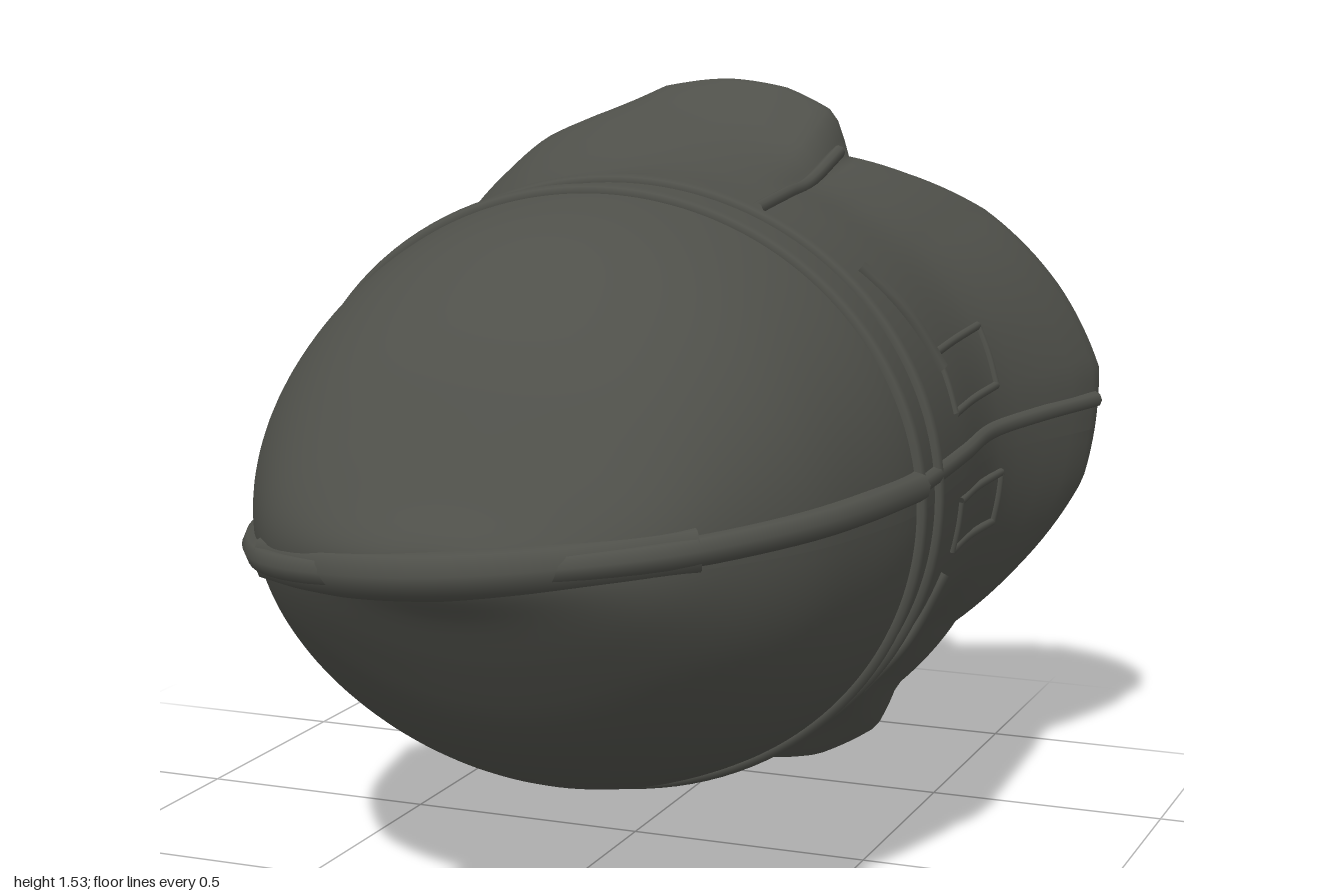
import * as THREE from 'three';

const CY = 0.77;
const V = (x, y, z) => new THREE.Vector3(x, y, z);

// Outer sections from nose to waist: z, half width, half height
const BODY = [
  [0.965, 0, 0], [0.955, 0.12, 0.04], [0.9, 0.28, 0.11], [0.82, 0.4, 0.225], [0.7, 0.495, 0.375],
  [0.55, 0.575, 0.485], [0.4, 0.62, 0.555], [0.2, 0.655, 0.595], [0, 0.65, 0.605], [-0.2, 0.64, 0.61],
];
// Lining sections of the hollow, from waist back up to the nose
const LINING = [
  [-0.2, 0.575, 0.545], [0, 0.58, 0.54], [0.2, 0.58, 0.52], [0.4, 0.55, 0.48],
  [0.6, 0.47, 0.37], [0.75, 0.36, 0.23], [0.85, 0.2, 0.09], [0.88, 0, 0],
];
const STEPS = 5;
const POINTS = BODY.length + 5 + LINING.length;

// Flared petals round the open rear: angle, ridge z, ridge radius, edge z, edge radius
const REAR = [
  [-90, -0.5, 0.68, -0.61, 0.765], [-75, -0.5, 0.68, -0.6, 0.765], [-63, -0.48, 0.66, -0.6, 0.74],
  [-55, -0.45, 0.63, -0.58, 0.675], [-38, -0.48, 0.62, -0.61, 0.65], [-25, -0.5, 0.63, -0.74, 0.685],
  [-9, -0.5, 0.63, -0.85, 0.735], [10, -0.5, 0.63, -0.9, 0.755], [25, -0.5, 0.63, -0.88, 0.725],
  [44, -0.5, 0.62, -0.82, 0.69], [58, -0.45, 0.61, -0.7, 0.665],
  [68, -0.42, 0.61, -0.63, 0.65], [73, -0.45, 0.64, -0.62, 0.73], [82, -0.47, 0.66, -0.62, 0.755],
  [92, -0.48, 0.68, -0.62, 0.765], [104, -0.53, 0.73, -0.65, 0.765], [125, -0.55, 0.765, -0.8, 0.72],
  [148, -0.55, 0.765, -0.93, 0.65], [180, -0.55, 0.755, -0.98, 0.575], [205, -0.55, 0.74, -1.0, 0.57],
  [225, -0.57, 0.725, -0.98, 0.62], [240, -0.57, 0.735, -0.9, 0.69], [250, -0.57, 0.745, -0.78, 0.73],
  [260, -0.54, 0.72, -0.66, 0.755], [270, -0.5, 0.68, -0.61, 0.765],
];

function rearAt(deg) {
  const d = THREE.MathUtils.euclideanModulo(deg + 90, 360) - 90;
  let i = 0;
  while (i < REAR.length - 2 && REAR[i + 1][0] < d) i++;
  const a = REAR[i], b = REAR[i + 1], t = (d - a[0]) / (b[0] - a[0]);
  return a.map((v, k) => v + (b[k] - v) * t);
}

// Outer skin, rolled edge and inner lining along one angle
function shellPath(deg) {
  const a = THREE.MathUtils.degToRad(deg), c = Math.cos(a), s = Math.sin(a);
  const at = (r, z) => V(r * c, CY + r * s, z);
  const section = ([z, w, h]) => V(w * c, CY + h * s, z);
  const [, zr, rr, ze, re] = rearAt(deg);
  return new THREE.CatmullRomCurve3([
    ...BODY.map(section),
    at(rr, zr), at(re, ze), at(re - 0.025, ze - 0.005), at(re - 0.05, ze + 0.02), at(rr - 0.06, zr),
    ...LINING.map(section),
  ]);
}

function shellGeometry() {
  const cols = 180, rows = (POINTS - 1) * STEPS, pos = [], idx = [];
  for (let j = 0; j <= cols; j++) {
    const path = shellPath(j / cols * 360);
    for (let i = 0; i <= rows; i++) pos.push(...path.getPoint(i / rows).toArray());
  }
  const n = rows + 1;
  for (let j = 0; j < cols; j++) for (let i = 0; i < rows; i++) {
    const a = j * n + i, b = a + 1, c = a + n, d = c + 1;
    idx.push(a, b, c, b, d, c);
  }
  const g = new THREE.BufferGeometry();
  g.setAttribute('position', new THREE.Float32BufferAttribute(pos, 3));
  g.setIndex(idx);
  g.computeVertexNormals();
  return g;
}

// Point on the outer skin at a given angle and z
function skin(deg, z) {
  const path = shellPath(deg);
  let lo = 0, hi = (BODY.length + 1) / (POINTS - 1);
  for (let i = 0; i < 24; i++) {
    const m = (lo + hi) / 2;
    if (path.getPoint(m).z > z) lo = m; else hi = m;
  }
  return path.getPoint(lo);
}

export function createModel() {
  const group = new THREE.Group();
  const grey = new THREE.MeshStandardMaterial({ color: 0x4f504a });
  grey.name = 'dark grey';
  const add = (name, geo) => {
    const m = new THREE.Mesh(geo, grey);
    m.name = name;
    group.add(m);
    return m;
  };
  const tube = (name, pts, r, closed = false) => add(name, new THREE.TubeGeometry(
    new THREE.CatmullRomCurve3(pts, closed), closed ? 120 : 48, r, 8, closed));
  // Raised line laid on the skin through [angle, z] stations
  const seam = (name, stations, r) => tube(name, stations.map(([d, z]) => skin(d, z)), r);

  add('shell', shellGeometry());

  // Twin waist bands, slightly skewed
  for (const z of [0.2, 0.07]) {
    const pts = [];
    for (let d = 0; d < 360; d += 10) pts.push(skin(d, z - 0.03 * Math.cos(d * Math.PI / 180)));
    tube('waistBand', pts, 0.016, true);
  }

  // Lip round the nose, tilted to one side and thickest in front
  const lip = BODY.slice(1, 8).map(([z, w]) => [w, z]);
  const lipPoint = (x, z) => V(x, 0.76 + 0.1 * x, z - 0.015);
  tube('noseLip', [
    ...lip.slice().reverse().map(([w, z]) => lipPoint(-w, z)),
    lipPoint(0, 0.965),
    ...lip.map(([w, z]) => lipPoint(w, z)),
  ], 0.03);
  tube('noseLipFront', [-0.42, -0.3, -0.15, 0, 0.15, 0.3, 0.42].map(
    (x) => lipPoint(x, 0.955 - 1.05 * x * x)), 0.05);

  // Side rails
  seam('leftRail', [[5, 0.2], [5, 0], [5, -0.2], [5, -0.45], [5, -0.65], [5, -0.86]], 0.018);
  seam('rightRail', [[184, 0.2], [184, 0], [184, -0.2], [184, -0.4], [184, -0.53]], 0.018);

  // Fold beside the top petal
  seam('topFold', [[66, 0.02], [67, -0.2], [68, -0.4], [69, -0.58]], 0.015);

  // Framed panels and slanted straps on the left side
  for (const [lo, hi] of [[13, 25], [-14, -4]]) {
    for (const d of [lo, hi]) seam('panelEdge', [[d, -0.17], [d, -0.34], [d, -0.51]], 0.009);
    for (const z of [-0.17, -0.51]) seam('panelEnd', [[lo, z], [(lo + hi) / 2, z], [hi, z]], 0.009);
  }
  seam('upperStrap', [[46, -0.07], [34, -0.12], [22, -0.16]], 0.018);
  seam('lowerStrap', [[-42, 0], [-32, -0.1], [-18, -0.15]], 0.018);
  return group;
}
